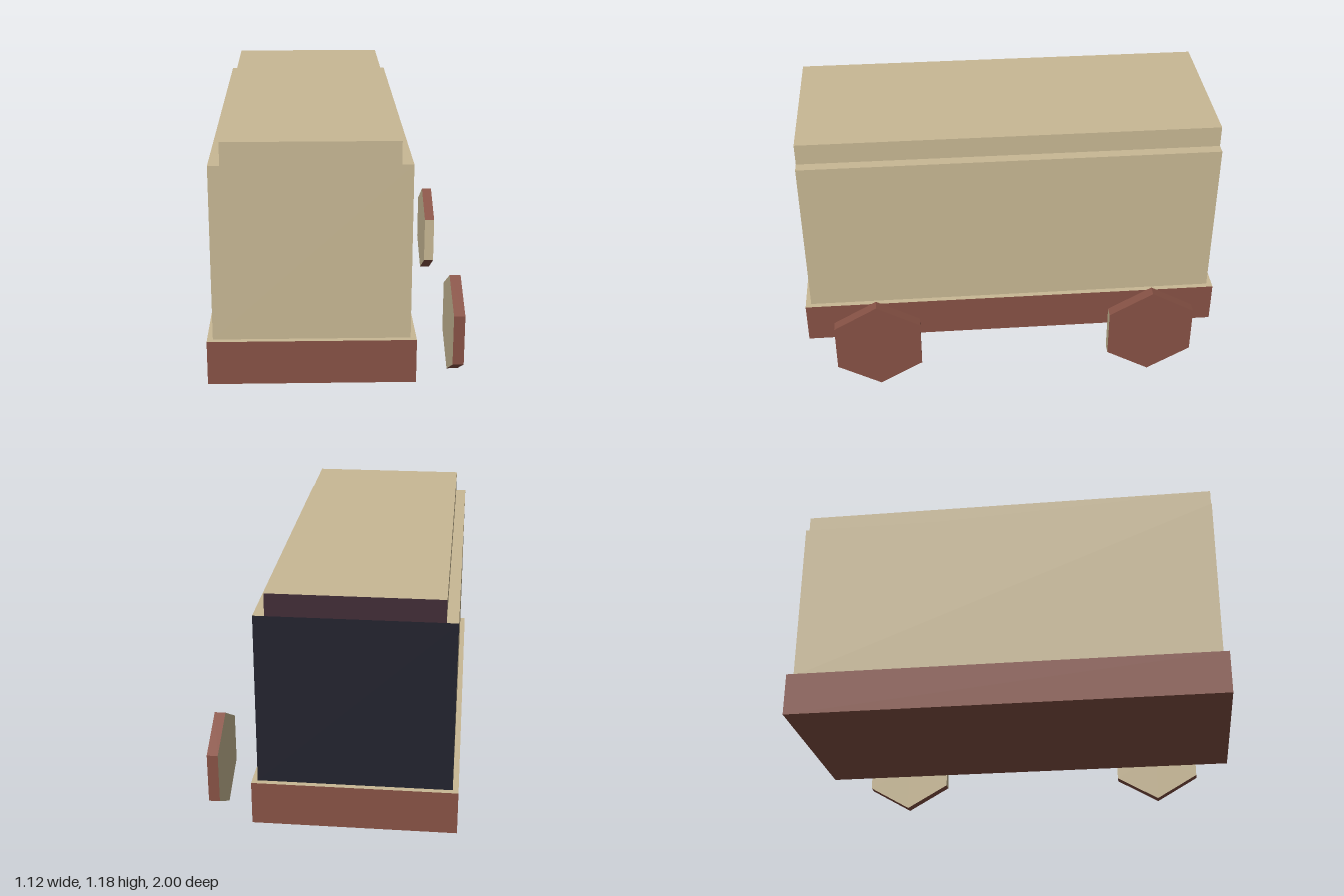
import * as THREE from 'three';

function mat(name, color) {
  const m = new THREE.MeshStandardMaterial({ color });
  m.name = name;
  return m;
}

export function createModel() {
  const model = new THREE.Group();
  model.name = 'wagon';
  const tan = mat('tan', 0xc8b894);
  const red = mat('redBrown', 0x875245);
  const navy = mat('darkNavy', 0x22232d);
  const plum = mat('darkPlum', 0x402c36);

  // Box between two heights; sides in the order +x, -x, +y, -y, +z, -z
  const bodyX = -0.114;
  function box(name, width, y0, y1, length, sides) {
    const mesh = new THREE.Mesh(new THREE.BoxGeometry(width, y1 - y0, length), sides);
    mesh.position.set(bodyX, (y0 + y1) / 2, 0);
    mesh.name = name;
    model.add(mesh);
  }
  box('chassis', 0.898, 0.109, 0.307, 2, [red, red, tan, red, red, red]);
  box('body', 0.848, 0.307, 1.081, 1.948, [tan, tan, tan, tan, tan, navy]);
  box('roof', 0.748, 1.081, 1.181, 1.948, [tan, tan, tan, tan, tan, plum]);

  // Six-sided wheels standing clear of the chassis, with a tan inner face
  function wheel(name, z, frontEdge) {
    const geo = new THREE.CylinderGeometry(0.232, 0.232, 0.05, 6, 1, false, Math.PI / 6)
      .rotateZ(-Math.PI / 2).toNonIndexed();
    geo.computeVertexNormals();
    geo.clearGroups();
    geo.addGroup(0, 30, 0);          // rim
    geo.addGroup(30, 6, frontEdge);  // rim side facing the front
    geo.addGroup(36, 18, 0);         // outer face
    geo.addGroup(54, 18, 1);         // inner face
    const mesh = new THREE.Mesh(geo, [red, tan]);
    mesh.position.set(0.536, 0.232, z);
    mesh.name = name;
    model.add(mesh);
  }
  wheel('frontWheel', 0.65, 0);
  wheel('rearWheel', -0.65, 1);

  return model;
}
